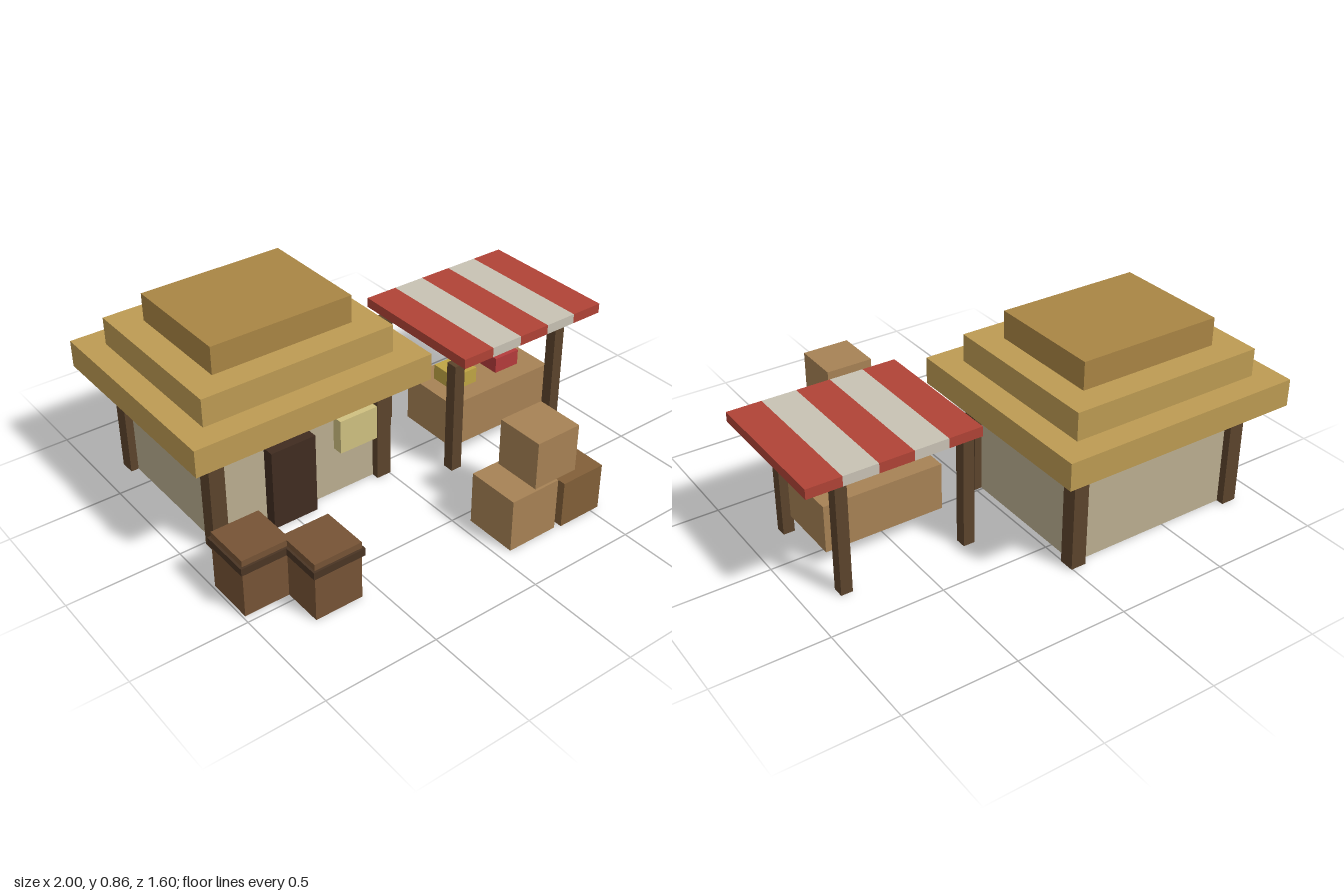
import * as THREE from 'three';

const paint = (color) => new THREE.MeshStandardMaterial({ color, flatShading: true });
const wall = paint(0xbbae90), thatch = paint(0xbd9b53), thatchTop = paint(0xa98544);
const timber = paint(0x5c442c), doorWood = paint(0x402c20), pane = paint(0xcfc080);
const crateWood = paint(0xa78255), darkCrate = paint(0x825f38);
const barrelWood = paint(0x765335), bandMat = paint(0x4b3524);
const red = paint(0xb04336), cream = paint(0xc8c2b4), yellow = paint(0xbfa544), fruitRed = paint(0xb53c3c);

// Box given by its [min, max] range on each axis
function box(parent, name, material, [x0, x1], [y0, y1], [z0, z1]) {
  const mesh = new THREE.Mesh(new THREE.BoxGeometry(x1 - x0, y1 - y0, z1 - z0), material);
  mesh.position.set((x0 + x1) / 2, (y0 + y1) / 2, (z0 + z1) / 2);
  mesh.name = name;
  parent.add(mesh);
  return mesh;
}

// Square posts at every combination of the x and z centres
function posts(parent, name, xs, zs, width, height) {
  const h = width / 2;
  for (const x of xs) for (const z of zs)
    box(parent, name, timber, [x - h, x + h], [0, height], [z - h, z + h]);
}

function group(parent, name) {
  const g = new THREE.Group();
  g.name = name;
  parent.add(g);
  return g;
}

export function createModel() {
  const model = new THREE.Group();
  model.name = 'marketHut';

  // Hut with corner posts, door and window
  const hut = group(model, 'hut');
  box(hut, 'walls', wall, [-0.85, -0.03], [0, 0.49], [-0.645, 0.045]);
  posts(hut, 'cornerPost', [-0.85, -0.03], [-0.645, 0.045], 0.07, 0.489);
  box(hut, 'door', doorWood, [-0.61, -0.397], [0, 0.375], [0.03, 0.1]);
  box(hut, 'window', pane, [-0.268, -0.08], [0.226, 0.384], [0.03, 0.095]);

  // Stepped thatched roof
  box(hut, 'roofEaves', thatch, [-1, 0.125], [0.49, 0.612], [-0.8, 0.195]);
  box(hut, 'roofMiddle', thatch, [-0.893, 0.012], [0.612, 0.737], [-0.688, 0.083]);
  box(hut, 'roofTop', thatchTop, [-0.77, -0.107], [0.737, 0.862], [-0.567, -0.038]);

  // Market stall with counter and goods
  const stall = group(model, 'stall');
  posts(stall, 'stallPost', [0.248, 0.823], [-0.28, 0.209], 0.052, 0.53);
  box(stall, 'counter', crateWood, [0.26, 0.81], [0.08, 0.298], [-0.121, 0.183]);
  box(stall, 'yellowGoods', yellow, [0.335, 0.465], [0.298, 0.37], [-0.033, 0.098]);
  box(stall, 'redGoods', fruitRed, [0.58, 0.71], [0.298, 0.37], [-0.033, 0.098]);

  // Striped awning
  const stripe = 0.155;
  for (let i = 0; i < 5; i++) {
    const x = 0.225 + i * stripe;
    box(stall, 'awningStripe', i % 2 ? cream : red, [x, x + stripe], [0.547, 0.592], [-0.37, 0.29]);
  }

  // Stack of crates
  const crates = group(model, 'crates');
  box(crates, 'largeCrate', crateWood, [0.06, 0.302], [0, 0.242], [0.548, 0.79]);
  box(crates, 'topCrate', crateWood, [0.187, 0.405], [0.242, 0.46], [0.561, 0.779]);
  box(crates, 'darkCrate', darkCrate, [0.33, 0.543], [0, 0.215], [0.585, 0.8]);

  // Square barrels, each with a wider dark band
  for (const [x, z] of [[-0.882, 0.358], [-0.682, 0.538]]) {
    const barrel = group(model, 'barrel');
    const b = 0.108, r = 0.118;
    box(barrel, 'barrelBody', barrelWood, [x - b, x + b], [0, 0.268], [z - b, z + b]);
    box(barrel, 'barrelBand', bandMat, [x - r, x + r], [0.207, 0.24], [z - r, z + r]);
  }
  return model;
}
